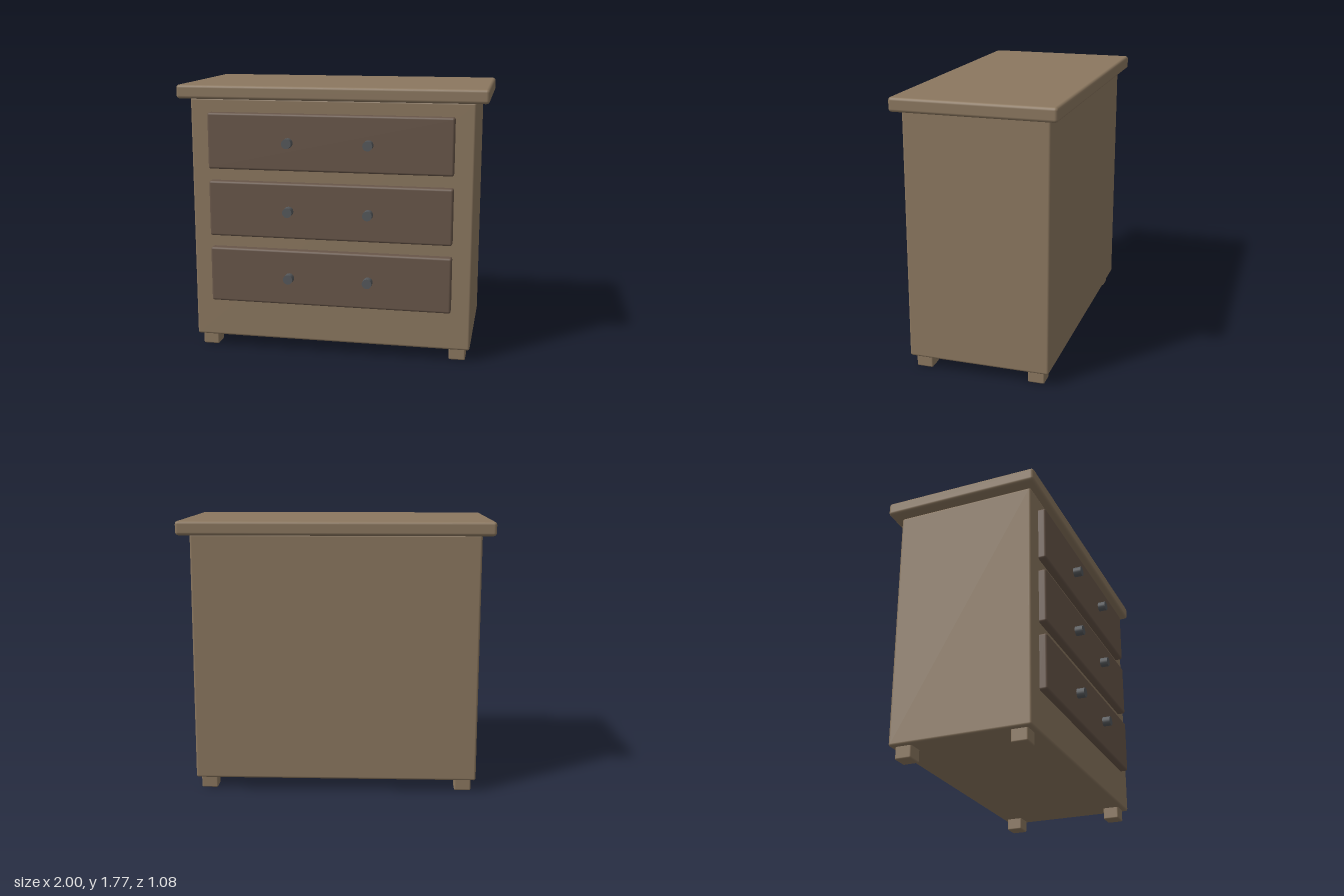
import * as THREE from 'three';
import { RoundedBoxGeometry } from 'three/addons/geometries/RoundedBoxGeometry.js';

export function createModel() {
  const model = new THREE.Group();
  model.name = 'chestOfDrawers';

  const wood = new THREE.MeshStandardMaterial({ color: 0x8b775f });
  const darkWood = new THREE.MeshStandardMaterial({ color: 0x685649 });
  const metal = new THREE.MeshStandardMaterial({ color: 0x55585b });

  // Softly bevelled box given by its minimum and maximum corners
  function addBox(parent, name, min, max, radius, material) {
    const size = max.map((v, i) => v - min[i]);
    const mesh = new THREE.Mesh(new RoundedBoxGeometry(...size, 2, radius), material);
    mesh.position.set(...max.map((v, i) => (v + min[i]) / 2));
    mesh.name = name;
    parent.add(mesh);
  }

  // Carcass and overhanging top
  addBox(model, 'body', [-0.92, 0.08, -0.48], [0.92, 1.685, 0.44], 0.015, wood);
  addBox(model, 'top', [-1, 1.68, -0.54], [1, 1.77, 0.49], 0.02, wood);

  // Four feet, let slightly into the body
  for (const x of [-0.837, 0.837]) {
    for (const z of [-0.392, 0.352]) {
      const side = x > 0 ? 'Left' : 'Right';
      addBox(model, (z > 0 ? 'front' : 'back') + side + 'Foot',
        [x - 0.054, 0, z - 0.054], [x + 0.054, 0.1, z + 0.054], 0.01, wood);
    }
  }

  // Three drawers, each with a pair of knobs
  const knobGeometry = new THREE.CylinderGeometry(0.032, 0.032, 0.075, 12).rotateX(Math.PI / 2);
  ['bottom', 'middle', 'top'].forEach((level, i) => {
    const y = 0.522 + i * 0.445;
    const drawer = new THREE.Group();
    drawer.name = level + 'Drawer';
    addBox(drawer, level + 'DrawerFront',
      [-0.795, y - 0.183, 0.42], [0.795, y + 0.183, 0.49], 0.015, darkWood);
    for (const x of [-0.26, 0.26]) {
      const knob = new THREE.Mesh(knobGeometry, metal);
      knob.name = level + (x > 0 ? 'Left' : 'Right') + 'Knob';
      knob.position.set(x, y, 0.5045);
      drawer.add(knob);
    }
    model.add(drawer);
  });

  return model;
}
